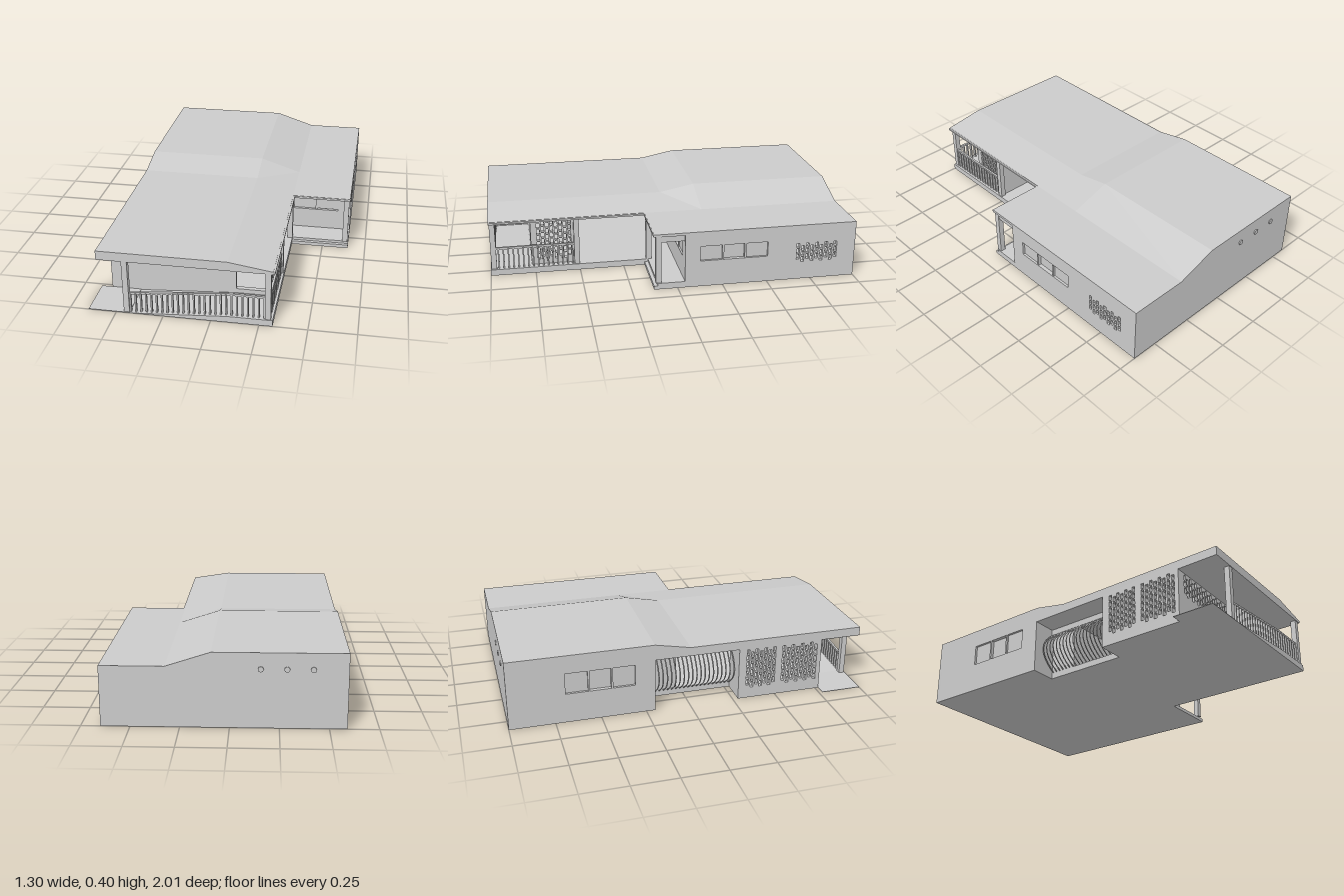
import * as THREE from 'three';

const mat = new THREE.MeshStandardMaterial({ color: 0xcccccc, flatShading: true, side: THREE.DoubleSide });
const CEIL = 0.305, FLOOR = 0.035;

export function createModel() {
  const house = new THREE.Group();
  house.name = 'house';

  const add = (name, geo, parent = house) => {
    const m = new THREE.Mesh(geo, mat);
    m.name = name;
    parent.add(m);
    return m;
  };
  const group = (name) => {
    const g = new THREE.Group();
    g.name = name;
    house.add(g);
    return g;
  };
  // box given by its limits
  const box = (name, x0, x1, y0, y1, z0, z1, parent) => {
    const g = new THREE.BoxGeometry(x1 - x0, y1 - y0, z1 - z0);
    g.translate((x0 + x1) / 2, (y0 + y1) / 2, (z0 + z1) / 2);
    return add(name, g, parent);
  };
  // beam with a square section between two points
  const beam = (name, a, b, t, parent) => {
    const A = new THREE.Vector3(...a), B = new THREE.Vector3(...b);
    const m = add(name, new THREE.BoxGeometry(t, t, A.distanceTo(B)), parent);
    m.position.copy(A).add(B).multiplyScalar(0.5);
    m.lookAt(B);
  };
  const rect = (Type, u0, u1, v0, v1) => {
    const p = new Type();
    p.moveTo(u0, v0);
    p.lineTo(u1, v0);
    p.lineTo(u1, v1);
    p.lineTo(u0, v1);
    p.closePath();
    return p;
  };
  // wall with holes [u0, u1, y0, y1]; its outer/greater face is at pos
  const wall = (name, axis, u0, u1, pos, holes = [], y0 = 0, y1 = CEIL, t = 0.025) => {
    const s = rect(THREE.Shape, u0, u1, y0, y1);
    holes.forEach((h) => s.holes.push(rect(THREE.Path, ...h)));
    const g = new THREE.ExtrudeGeometry(s, { depth: t, bevelEnabled: false });
    if (axis === 'x') g.translate(0, 0, pos - t);
    else g.rotateY(-Math.PI / 2).translate(pos, 0, 0);
    return add(name, g);
  };
  // staggered ventilation slots
  const slots = (u0, u1, y0, y1) => {
    const out = [], n = Math.round((u1 - u0) / 0.026), p = (u1 - u0) / n;
    const rows = Math.round((y1 - y0 - 0.015) / 0.037), q = (y1 - y0 - 0.015) / rows;
    for (let i = 0; i < n; i++) for (let j = 0; j < rows; j++) {
      const u = u0 + i * p + p * 0.18, v = y0 + j * q + (i % 2 ? 0 : 0.015);
      out.push([u, u + p * 0.64, v + 0.003, v + q - 0.003]);
    }
    return out;
  };

  // floor slabs and entrance ramp
  const base = group('base');
  box('rearSlab', -0.59, 0.65, 0, FLOOR, -1, -0.2, base);
  box('hallSlab', -0.44, 0.32, 0, FLOOR, -0.2, 0.28, base);
  box('frontSlab', -0.59, 0.32, 0, FLOOR, 0.28, 0.77, base);
  box('porchSlab', 0.32, 0.65, 0, FLOOR, -0.2, 0.11, base);
  box('porchStep', 0.32, 0.65, 0, 0.02, 0.11, 0.13, base);
  box('landing', -0.65, -0.43, 0, 0.003, 0.77, 1, base);
  const ramp = new THREE.Shape([[-0.43, 0], [0.32, 0], [0.32, FLOOR], [0.09, FLOOR]].map((p) => new THREE.Vector2(...p)));
  add('ramp', new THREE.ExtrudeGeometry(ramp, { depth: 0.23, bevelEnabled: false }).translate(0, 0, 0.77), base);

  // rear block walls
  wall('backWall', 'x', -0.59, 0.65, -0.975);
  wall('rightSideWall', 'z', -1, -0.04, 0.65,
    [[-0.5, -0.125, 0.15, 0.235], ...slots(-0.9, -0.66, 0.1, 0.215)]);
  wall('leftSideWall', 'z', -1, -0.2, -0.565, [[-0.69, -0.31, 0.17, 0.29]]);
  wall('recessEndWall', 'x', -0.565, -0.44, -0.2);
  wall('recessInnerWall', 'z', -0.2, -0.065, -0.415);
  wall('hallRearWall', 'x', -0.44, 0.625, -0.04, [[0.31, 0.575, 0.155, 0.24]], FLOOR);

  // windows: frame mullions, outer panes near the face, middle pane deeper
  const sideWindow = (name, x, dir, z0, z1, y0, y1) => {
    const w = group(name), s = (z1 - z0) / 3;
    for (let i = 0; i < 3; i++) {
      const d = x - dir * (i === 1 ? 0.022 : 0.014);
      box('pane', d - 0.001, d + 0.001, y0, y1, z0 + i * s, z0 + (i + 1) * s, w);
      if (i) box('mullion', x - 0.012 - dir * 0.014, x + 0.012 - dir * 0.014, y0, y1, z0 + i * s - 0.005, z0 + i * s + 0.005, w);
    }
  };
  sideWindow('rightWindow', 0.65, 1, -0.5, -0.125, 0.15, 0.235);
  sideWindow('leftWindow', -0.59, -1, -0.69, -0.31, 0.17, 0.29);
  const porchWindow = group('porchWindow');
  box('fixedPane', 0.31, 0.445, 0.155, 0.24, -0.058, -0.056, porchWindow);
  box('slidingPane', 0.445, 0.575, 0.16, 0.235, -0.052, -0.048, porchWindow);
  box('mullion', 0.44, 0.45, 0.155, 0.24, -0.062, -0.042, porchWindow);

  // round vents in the back wall
  for (const x of [-0.155, -0.285, -0.415]) {
    add('backVent', new THREE.CylinderGeometry(0.015, 0.015, 0.012, 8).rotateX(Math.PI / 2)).position.set(x, 0.31, -1);
  }

  // front room: slotted screens and a doorway
  wall('leftScreen', 'z', 0.28, 0.77, -0.565,
    [...slots(0.53, 0.75, 0.06, 0.3), ...slots(0.32, 0.5, 0.06, 0.3)]);
  wall('frontWall', 'x', -0.565, 0.28, 0.77,
    [...slots(-0.54, 0.05, 0.17, 0.3), [0.095, 0.25, 0.06, 0.285]]);
  wall('veranda screen', 'z', 0.53, 0.745, 0.28, slots(0.54, 0.74, 0.06, 0.3), FLOOR);
  wall('roomRearWall', 'x', -0.565, 0.28, 0.53, [], FLOOR, CEIL, 0.02);
  wall('recessFrontWall', 'x', -0.565, -0.44, 0.305);

  // bowed bars across the side recess
  const grille = group('recessGrille');
  box('lintel', -0.455, -0.43, 0.27, CEIL, -0.2, 0.28, grille);
  for (let i = 0; i < 20; i++) {
    const z = -0.188 + i * 0.0242;
    const bow = new THREE.QuadraticBezierCurve3(
      new THREE.Vector3(-0.443, FLOOR, z),
      new THREE.Vector3(-0.63, 0.15, z),
      new THREE.Vector3(-0.443, 0.275, z));
    add('bar', new THREE.TubeGeometry(bow, 10, 0.004, 4), grille);
  }

  // posts and beams
  const posts = group('posts');
  box('rampPost', -0.46, -0.43, 0, CEIL, 0.965, 0.995, posts);
  box('cornerPost', 0.28, 0.31, FLOOR, CEIL, 0.965, 0.995, posts);
  box('sidePost', 0.285, 0.315, 0.02, CEIL, 0.5, 0.53, posts);
  box('notchPost', 0.29, 0.32, FLOOR, CEIL, 0.09, 0.12, posts);
  box('porchPost', 0.615, 0.645, FLOOR, CEIL, 0.09, 0.12, posts);
  box('porchBeam', 0.62, 0.64, 0.27, CEIL, -0.04, 0.09, posts);

  // railings
  const rails = group('railings');
  const ground = (x) => FLOOR * Math.min(1, Math.max(0, (x + 0.43) / 0.52));
  const top = (x) => 0.11 + 0.048 * Math.min(1, (x + 0.43) / 0.52);
  for (let i = 0; i < 26; i++) {
    const x = -0.425 + i * 0.028;
    box('baluster', x - 0.004, x + 0.004, ground(x), top(x), 0.972, 0.988, rails);
  }
  for (const [a, b] of [[-0.43, 0.09], [0.09, 0.29]]) {
    beam('topRail', [a, top(a), 0.98], [b, top(b), 0.98], 0.012, rails);
  }
  for (let i = 0; i < 16; i++) {
    const z = 0.54 + i * 0.0275;
    box('sideBaluster', 0.292, 0.308, FLOOR, 0.155, z - 0.004, z + 0.004, rails);
  }
  beam('sideTopRail', [0.3, 0.155, 0.52], [0.3, 0.155, 0.97], 0.012, rails);

  // roof: stepped and folded slab over an L-shaped plan
  const xs = [-0.59, 0.09, 0.32, 0.65], zs = [-1, -0.2, 0, 0.13, 1];
  const height = (x, z) => (x > 0.1 ? 0.32 : 0.355 + 0.04 * Math.min(1, Math.max(0, -z / 0.2)));
  const T = (x, z) => [x, height(x, z), z], B = (x, z) => [x, CEIL, z];
  const verts = [];
  const quad = (a, b, c, d) => verts.push(...a, ...b, ...c, ...a, ...c, ...d);
  const inside = (i, j) => i >= 0 && i < 3 && j >= 0 && j < 4 && !(i === 2 && j === 3);
  for (let i = 0; i < 3; i++) for (let j = 0; j < 4; j++) {
    if (!inside(i, j)) continue;
    const [x0, x1, z0, z1] = [xs[i], xs[i + 1], zs[j], zs[j + 1]];
    quad(T(x0, z1), T(x1, z1), T(x1, z0), T(x0, z0));
    if (i === 1 && j === 1) { // fold runs along the other diagonal
      verts.length -= 18;
      quad(T(x1, z0), T(x0, z0), T(x0, z1), T(x1, z1));
    }
    quad(B(x0, z0), B(x1, z0), B(x1, z1), B(x0, z1));
    if (!inside(i - 1, j)) quad(B(x0, z0), B(x0, z1), T(x0, z1), T(x0, z0));
    if (!inside(i + 1, j)) quad(B(x1, z1), B(x1, z0), T(x1, z0), T(x1, z1));
    if (!inside(i, j - 1)) quad(B(x1, z0), B(x0, z0), T(x0, z0), T(x1, z0));
    if (!inside(i, j + 1)) quad(B(x0, z1), B(x1, z1), T(x1, z1), T(x0, z1));
  }
  const roof = new THREE.BufferGeometry();
  roof.setAttribute('position', new THREE.Float32BufferAttribute(verts, 3));
  roof.computeVertexNormals();
  add('roof', roof);
  box('sideGutter', 0.32, 0.33, 0.308, 0.318, 0.13, 1);
  box('porchGutter', 0.32, 0.65, 0.308, 0.318, 0.122, 0.134);

  return house;
}
